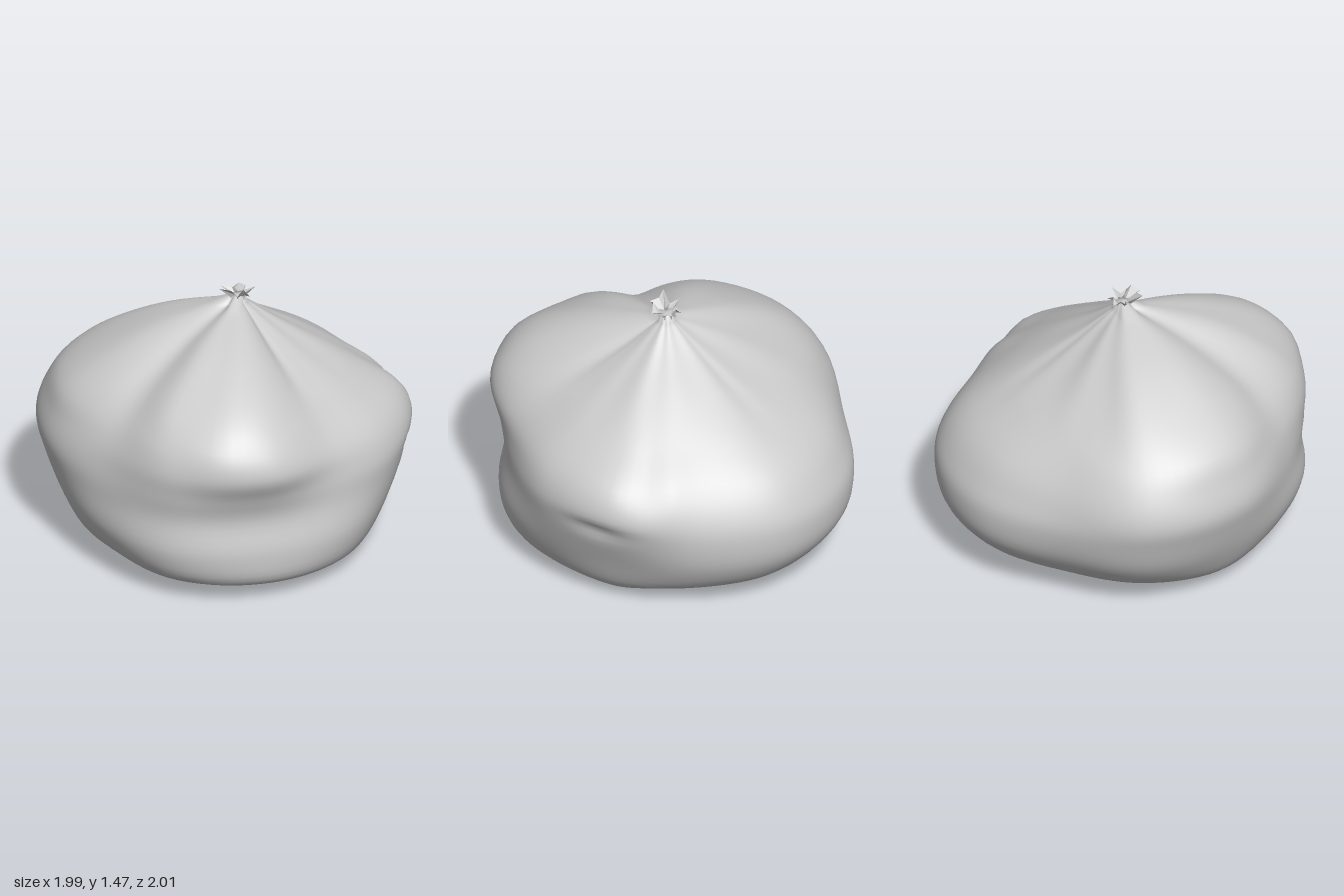
import * as THREE from 'three';

const KNOT = { x: 0.07, z: 0.02 };

// Heights of the rings from the shoulders to the base
const heights = [1.36, 1.25, 1.1, 0.95, 0.8, 0.65, 0.5, 0.3, 0.12, 0.04];

// Radius from the knot axis at each height, every 30 degrees from +x towards +z
const profiles = [
  [0.05, 0.20, 0.43, 0.65, 0.86, 0.93, 0.89, 0.81, 0.73, 0.64],
  [0.05, 0.20, 0.42, 0.64, 0.82, 0.89, 0.88, 0.83, 0.75, 0.65],
  [0.05, 0.21, 0.45, 0.67, 0.81, 0.85, 0.86, 0.88, 0.82, 0.66],
  [0.08, 0.42, 0.74, 0.92, 0.98, 0.92, 0.88, 0.91, 0.87, 0.66],
  [0.12, 0.48, 0.76, 0.92, 0.98, 0.97, 0.95, 0.97, 0.89, 0.64],
  [0.07, 0.36, 0.64, 0.81, 0.90, 0.94, 0.95, 0.94, 0.83, 0.62],
  [0.14, 0.47, 0.75, 0.94, 1.01, 1.05, 1.02, 0.95, 0.85, 0.72],
  [0.12, 0.43, 0.72, 0.92, 1.03, 1.08, 1.05, 0.97, 0.80, 0.56],
  [0.06, 0.29, 0.54, 0.75, 0.88, 0.95, 0.97, 0.91, 0.74, 0.46],
  [0.05, 0.21, 0.44, 0.68, 0.87, 0.97, 1.02, 0.98, 0.78, 0.42],
  [0.05, 0.20, 0.43, 0.66, 0.86, 0.97, 1.01, 0.97, 0.80, 0.48],
  [0.05, 0.19, 0.41, 0.61, 0.78, 0.88, 0.91, 0.87, 0.74, 0.50],
];

// Creases: angle, height, angular width, height width, depth (negative is a ridge)
const creases = [
  [351, 0.82, 6, 0.14, 0.035],
  [8, 0.56, 10, 0.05, 0.025],
  [62, 1.18, 5, 0.14, 0.025],
  [148, 1.08, 8, 0.18, 0.03],
  [122, 1.1, 5, 0.18, 0.015],
  [105, 1.0, 7, 0.25, -0.015],
  [290, 1.12, 5, 0.16, 0.02],
  [225, 1.15, 6, 0.14, 0.015],
];

const cubic = (a, b, c, d, t) =>
  b + 0.5 * t * (c - a + t * (2 * a - 5 * b + 4 * c - d + t * (3 * (b - c) + d - a)));

function sample(values, u) {
  const last = values.length - 1;
  const i = Math.min(Math.floor(u), last - 1);
  const at = k => values[Math.max(0, Math.min(last, k))];
  return cubic(at(i - 1), at(i), at(i + 1), at(i + 2), u - i);
}

function sampleAround(angle, u) {
  const n = profiles.length, f = angle / 30, i = Math.floor(f);
  const r = [-1, 0, 1, 2].map(k => sample(profiles[(i + k + n) % n], u));
  return cubic(...r, f - i);
}

function creaseDepth(angle, y) {
  let depth = 0;
  for (const [a, h, aw, hw, d] of creases) {
    const da = ((angle - a + 540) % 360 - 180) / aw, dh = (y - h) / hw;
    depth += d * Math.exp(-da * da - dh * dh);
  }
  return depth;
}

// Joins equal rings of points, listed from top to bottom
function loft(rings, material) {
  const n = rings[0].length, index = [];
  for (let i = 0; i < rings.length - 1; i++)
    for (let j = 0; j < n; j++) {
      const a = i * n + j, b = i * n + (j + 1) % n;
      index.push(a, b, a + n, b, b + n, a + n);
    }
  const geometry = new THREE.BufferGeometry();
  geometry.setAttribute('position', new THREE.Float32BufferAttribute(rings.flat(2), 3));
  geometry.setIndex(index);
  geometry.computeVertexNormals();
  return new THREE.Mesh(geometry, material);
}

function ring(n, pointAt) {
  return Array.from({ length: n }, (_, j) => {
    const angle = 360 * j / n, a = THREE.MathUtils.degToRad(angle);
    const [r, y] = pointAt(angle, j);
    return [KNOT.x + r * Math.cos(a), y, KNOT.z + r * Math.sin(a)];
  });
}

export function createModel() {
  const group = new THREE.Group();
  const material = new THREE.MeshStandardMaterial({ color: 0xcccccc, roughness: 0.7 });

  // Slumped sack with soft pleats gathered towards the closed neck
  const sides = 96, rows = 45, rings = [];
  for (const r of [0, 0.035]) rings.push(ring(sides, () => [r, 1.4]));
  for (let i = 0; i <= rows; i++) {
    const u = (heights.length - 1) * i / rows;
    const y = sample(heights, u);
    rings.push(ring(sides, angle => {
      const a = THREE.MathUtils.degToRad(angle);
      const pleat = 0.04 * Math.max(0, (y - 0.95) / 0.41);
      const r = sampleAround(angle, u) * (1 + pleat * Math.sin(9 * a + Math.sin(3 * a)));
      return [r - creaseDepth(angle, y), y];
    }));
  }
  // Nearly flat underside, lowest towards the back right
  for (const [scale, y] of [[0.85, 0.03], [0.5, 0.022], [0, 0.02]])
    rings.push(ring(sides, angle => {
      const sag = 0.02 * Math.max(0, Math.cos(THREE.MathUtils.degToRad(angle - 225)));
      return [sampleAround(angle, heights.length - 1) * scale, y - (scale > 0 ? sag : 0)];
    }));
  const sack = loft(rings, material);
  sack.name = 'sack';
  group.add(sack);

  // Crumpled frill above the neck, leaning to one side
  const frillMaterial = new THREE.MeshStandardMaterial({
    color: 0xcccccc, roughness: 0.7, flatShading: true, side: THREE.DoubleSide,
  });
  const wave = j => 0.5 + 0.5 * Math.sin(j * 2.3 + 1);
  const frill = loft([
    ring(14, (angle, j) => {
      const lean = Math.max(0, Math.cos(THREE.MathUtils.degToRad(angle - 130)));
      return [(j % 2 ? 0.035 : 0.075) + 0.02 * wave(j) + 0.03 * lean, 1.4 + 0.04 * wave(j) + 0.035 * lean];
    }),
    ring(14, (angle, j) => [j % 2 ? 0.025 : 0.05, 1.395 + 0.015 * wave(j + 4)]),
    ring(14, (angle, j) => [j % 2 ? 0.03 : 0.04, 1.36]),
  ], frillMaterial);
  frill.name = 'gatheredFrill';
  group.add(frill);

  return group;
}
